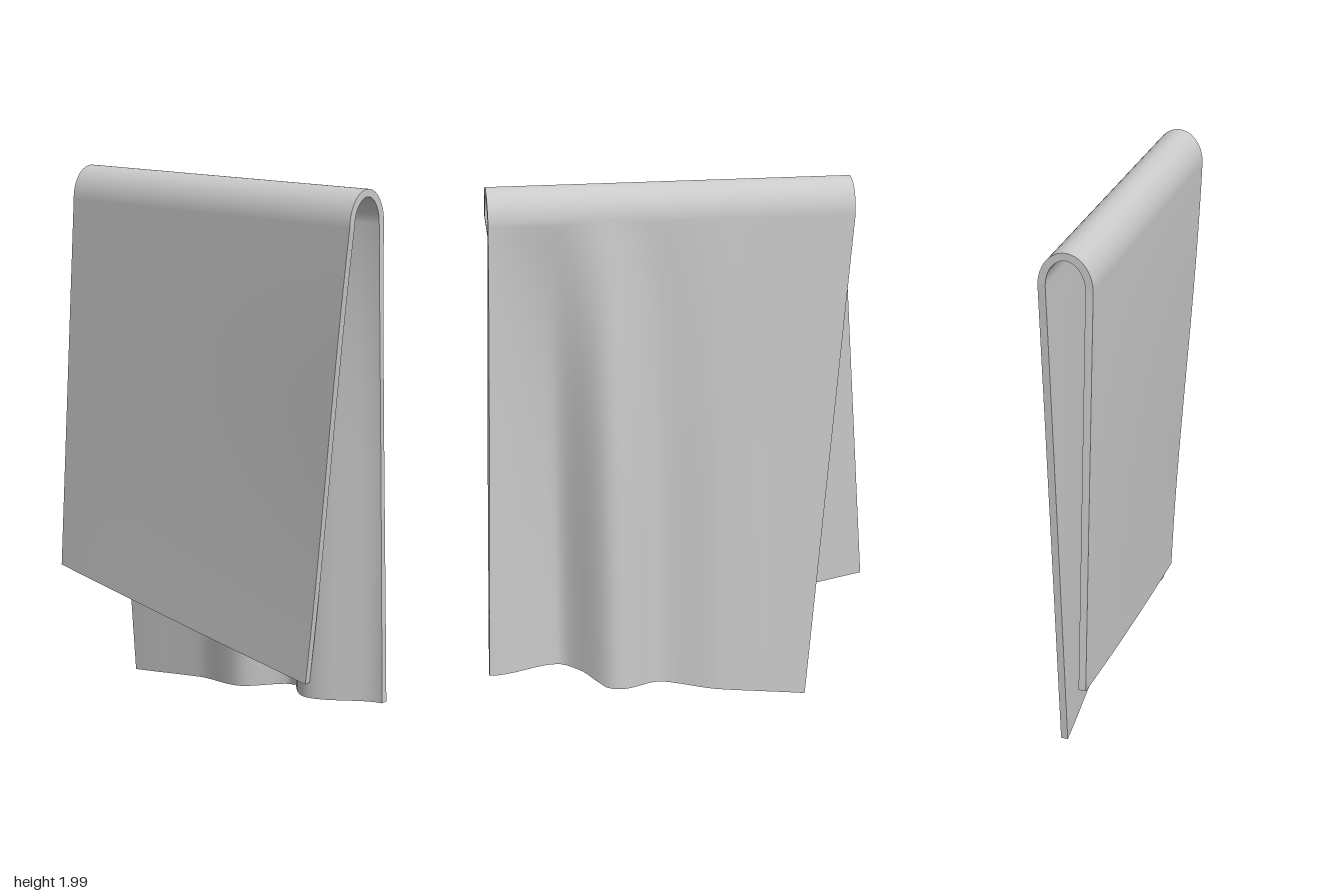
import * as THREE from 'three';

const { lerp, smoothstep } = THREE.MathUtils;
const HALF = 0.013;          // half the cloth thickness
const NU = 80, NW = 64;      // segments along z and along the drape
const SHOULDER = 1.88;       // height where the panels meet the arch

// Bottom wave of the front panel as [z, x], and its hem as [z, y]
const WAVE = [[-0.48, 0.045], [-0.15, 0.055], [0.07, 0.018], [0.26, 0.108], [0.46, -0.045], [0.73, 0.05]];
const HEM = [[-0.48, 0.008], [0.29, 0.125], [0.36, 0.16], [0.73, 0.188]];

function sample(keys, z, smooth) {
  if (z <= keys[0][0]) return keys[0][1];
  for (let i = 1; i < keys.length; i++) {
    const [z0, a] = keys[i - 1], [z1, b] = keys[i];
    if (z <= z1) return lerp(a, b, smooth ? smoothstep(z, z0, z1) : (z - z0) / (z1 - z0));
  }
  return keys[keys.length - 1][1];
}

// Middle surface: w 0-1 climbs the back panel, 1-2 crosses the arch, 2-3 descends the front panel
function middle(u, w) {
  const topZ = lerp(-0.62, 0.675, u);
  if (w < 1) {
    const t = 1 - w;
    const y = lerp(SHOULDER, lerp(0.43, 0.23, u), t);
    const x = -0.113 + 0.04 * Math.pow(Math.max(u, 0), 1.5) * Math.sin(Math.min(t, 1) * Math.PI / 2) ** 2;
    return new THREE.Vector3(x, y, lerp(topZ, lerp(-0.73, 0.48, u), t));
  }
  if (w <= 2) {
    const a = (2 - w) * Math.PI;
    return new THREE.Vector3(-0.033 + 0.08 * Math.cos(a), SHOULDER + 0.107 * Math.sin(a), topZ);
  }
  const t = w - 2, hemZ = lerp(-0.48, 0.73, u);
  const z = lerp(topZ, hemZ, t);
  const y = lerp(SHOULDER, sample(HEM, hemZ, false), t);
  const amount = 1 - Math.pow(Math.max(0, 1 - t), 3);
  return new THREE.Vector3(lerp(0.047, sample(WAVE, z, true), amount), y, z);
}

// Point pushed off the middle surface along its normal
function offset(u, w, side) {
  const e = 0.004;
  const du = middle(u + e, w).sub(middle(u - e, w));
  const dw = middle(u, w + e).sub(middle(u, w - e));
  return middle(u, w).addScaledVector(du.cross(dw).normalize(), side * HALF);
}

// Grid geometry from a point rule over unit a and b
function grid(point, na, nb) {
  const pos = [], index = [];
  for (let j = 0; j <= nb; j++)
    for (let i = 0; i <= na; i++) pos.push(...point(i / na, j / nb).toArray());
  for (let j = 0; j < nb; j++)
    for (let i = 0; i < na; i++) {
      const p = j * (na + 1) + i, q = p + na + 1;
      index.push(p, p + 1, q, p + 1, q + 1, q);
    }
  const g = new THREE.BufferGeometry();
  g.setAttribute('position', new THREE.Float32BufferAttribute(pos, 3));
  g.setIndex(index);
  g.computeVertexNormals();
  return g;
}

export function createModel() {
  const group = new THREE.Group();
  group.name = 'drapedTowel';
  const material = new THREE.MeshStandardMaterial({ color: 0xcccccc, side: THREE.DoubleSide });
  const add = (name, geometry) => {
    const mesh = new THREE.Mesh(geometry, material);
    mesh.name = name;
    group.add(mesh);
  };

  // Both faces of the cloth
  add('outerFace', grid((a, b) => offset(a, 3 * b, 1), NU, NW * 3 / 2));
  add('innerFace', grid((a, b) => offset(1 - a, 3 * b, -1), NU, NW * 3 / 2));

  // Thin edges closing the cloth
  add('frontEdge', grid((a, b) => offset(1, 3 * b, 1 - 2 * a), 2, NW * 3 / 2));
  add('rearEdge', grid((a, b) => offset(0, 3 * b, 2 * a - 1), 2, NW * 3 / 2));
  add('frontPanelHem', grid((a, b) => offset(a, 3, 1 - 2 * b), NU, 2));
  add('backPanelHem', grid((a, b) => offset(a, 0, 2 * b - 1), NU, 2));
  return group;
}
